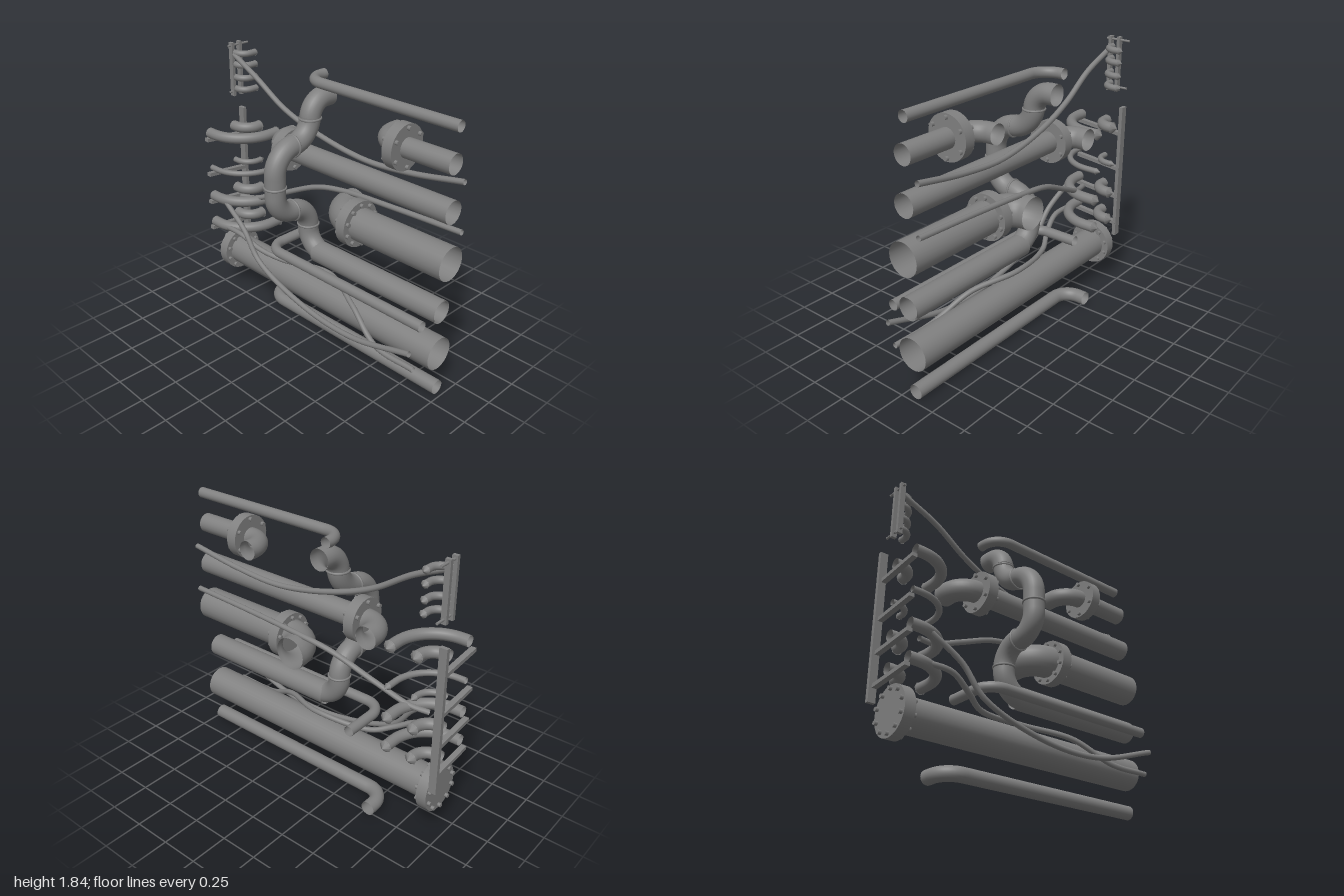
import * as THREE from 'three';

const mat = new THREE.MeshStandardMaterial({ color: 0x808080, side: THREE.DoubleSide });
const V = (p) => new THREE.Vector3(...p);

export function createModel() {
  const root = new THREE.Group();
  const add = (name, geo, pos = [0, 0, 0], parent = root) => {
    const m = new THREE.Mesh(geo, mat);
    m.name = name;
    m.position.set(...pos);
    parent.add(m);
    return m;
  };

  // Open pipe along a polyline whose corners become round elbows
  function pipe(name, pts, r, bend, segs = 90, sides = 24) {
    const P = pts.map(V), path = new THREE.CurvePath();
    let from = P[0];
    for (let i = 1; i < P.length - 1; i++) {
      const inDir = P[i].clone().sub(P[i - 1]), outDir = P[i + 1].clone().sub(P[i]);
      const b = Math.min(bend, inDir.length() * 0.49 + (i === 1 ? bend : 0), outDir.length() * 0.98);
      inDir.normalize(); outDir.normalize();
      const s = P[i].clone().addScaledVector(inDir, -b), e = P[i].clone().addScaledVector(outDir, b);
      path.add(new THREE.LineCurve3(from, s));
      path.add(new THREE.CubicBezierCurve3(s, s.clone().addScaledVector(inDir, b * 0.55),
        e.clone().addScaledVector(outDir, -b * 0.55), e));
      from = e;
    }
    path.add(new THREE.LineCurve3(from, P[P.length - 1]));
    return add(name, new THREE.TubeGeometry(path, segs, r, sides));
  }

  const cable = (name, pts, r = 0.018) =>
    add(name, new THREE.TubeGeometry(new THREE.CatmullRomCurve3(pts.map(V)), 64, r, 10));

  // Bolted flange facing along z
  function flange(x, y, z, r, bolts, thick = 0.07) {
    const g = new THREE.Group();
    g.name = 'flange';
    g.position.set(x, y, z);
    root.add(g);
    add('flangeDisc', new THREE.CylinderGeometry(r, r, thick, 40).rotateX(Math.PI / 2), [0, 0, 0], g);
    for (let i = 0; i < bolts; i++) {
      const a = ((i + 0.5) / bolts) * Math.PI * 2;
      add('bolt', new THREE.CylinderGeometry(0.014, 0.014, thick + 0.04, 8).rotateX(Math.PI / 2),
        [Math.cos(a) * r * 0.84, Math.sin(a) * r * 0.84, 0], g);
    }
  }

  // Long pipes turning into the wall: [x, y, radius, front z, elbow z, bend]
  const wall = 0.27;
  [
    [0.11, 1.755, 0.034, 0.97, -0.20, 0.13],
    [0.09, 1.545, 0.062, 0.97, 0.42, 0.14],
    [0.09, 1.26, 0.072, 0.98, -0.49, 0.13],
    [0.08, 0.945, 0.107, 1.0, 0.09, 0.16],
    [-0.08, 0.572, 0.034, 0.95, -0.38, 0.12],
    [0.09, 0.052, 0.047, 0.97, -0.54, 0.12],
  ].forEach(([x, y, r, z0, z1, b]) => pipe('wallPipe', [[x, y, z0], [x, y, z1], [wall, y, z1]], r, b));

  flange(0.09, 1.545, 0.6, 0.14, 6);
  flange(0.09, 1.26, -0.33, 0.14, 6);
  flange(0.08, 0.945, 0.275, 0.152, 10);

  // Main pipe with a closed flange at the back
  pipe('mainPipe', [[0.08, 0.31, 0.97], [0.08, 0.31, -0.9]], 0.107, 0.1, 1, 32);
  flange(0.08, 0.31, -0.9, 0.155, 10);

  // Riser that swings sideways and back before entering the wall
  const rz = -0.145;
  pipe('riserPipe', [[0.07, 0.615, 0.97], [0.07, 0.615, rz], [0.07, 0.935, rz], [-0.215, 0.935, rz],
    [-0.215, 1.365, rz], [0.09, 1.39, rz], [0.09, 1.635, rz], [0.26, 1.635, rz]], 0.068, 0.15, 170);
  pipe('riserFirstLength', [[0.07, 0.615, 0.97], [0.07, 0.615, -0.05]], 0.075, 0.1, 1);
  const collar = (x, y, z, axis) => {
    const g = new THREE.TorusGeometry(0.068, 0.008, 8, 28);
    if (axis === 'y') g.rotateX(Math.PI / 2);
    if (axis === 'x') g.rotateY(Math.PI / 2);
    add('pipeCollar', g, [x, y, z]);
  };
  collar(0.07, 0.79, rz, 'y');
  collar(-0.07, 0.935, rz, 'x');
  collar(-0.215, 1.14, rz, 'y');
  collar(-0.06, 1.375, rz, 'x');
  collar(0.09, 1.52, rz, 'y');

  // Rear rack: a post, its sloping cross bars and pairs of curved pipe stubs
  add('rackPost', new THREE.BoxGeometry(0.026, 0.97, 0.05), [0.225, 0.87, -0.975]);
  [1.25, 0.99, 0.775, 0.57].forEach((y, i) => {
    add('rackBar', new THREE.BoxGeometry(0.35, 0.025, 0.035), [0.06, y - 0.07, -0.965]).rotation.z = -0.1;
    const r = i === 1 ? 0.02 : 0.036;
    [[-0.09, -0.64, 0.26], [0.12, -0.82, 0.1]].forEach(([x, z, b]) => {
      pipe('rackPipe', [[x, y, -0.95], [x, y, z], [0.25, y, z]], r, b, 32, 14);
      add('rackPipeTip', new THREE.ConeGeometry(r * 1.15, 0.035, 8).rotateZ(-Math.PI / 2), [0.263, y, z]);
    });
  });

  // Small upper bracket with four stubs
  [0.125, 0.19].forEach((x) =>
    add('bracketPost', new THREE.BoxGeometry(0.022, 0.37, 0.035), [x, 1.655, -0.94]));
  [1.82, 1.5].forEach((y) =>
    add('bracketRod', new THREE.CylinderGeometry(0.008, 0.008, 0.17, 8).rotateZ(Math.PI / 2), [0.18, y, -0.94]));
  [1.77, 1.69, 1.6, 1.52].forEach((y) => {
    pipe('bracketPipe', [[0.14, y, -0.94], [0.14, y, -0.845], [0.25, y, -0.845]], 0.022, 0.07, 20, 12);
    add('bracketPipeTip', new THREE.ConeGeometry(0.025, 0.025, 8).rotateZ(-Math.PI / 2), [0.262, y, -0.845]);
  });

  // Loose cables
  cable('upperCable', [[0.19, 1.41, 0.97], [0.18, 1.35, 0.6], [0.17, 1.33, 0.25], [0.15, 1.4, -0.15],
    [0.13, 1.5, -0.43], [0.12, 1.65, -0.68], [0.13, 1.76, -0.92]]);
  cable('middleCable', [[0.19, 1.1, 0.98], [0.19, 1.08, 0.5], [0.19, 1.05, 0.05], [0.17, 1.01, -0.17],
    [0.12, 0.89, -0.45], [0.07, 0.79, -0.68], [0.04, 0.775, -0.8]]);
  cable('outerCable', [[-0.16, 0.41, 0.93], [-0.14, 0.28, 0.45], [-0.13, 0.3, 0], [-0.12, 0.45, -0.44],
    [-0.11, 0.63, -0.6], [-0.09, 0.77, -0.82]]);
  cable('lowerCable', [[-0.11, 0.27, 0.93], [-0.1, 0.28, 0.62], [-0.02, 0.41, 0.35], [0.1, 0.46, 0.03],
    [0.02, 0.44, -0.36], [-0.05, 0.49, -0.5], [-0.09, 0.565, -0.65], [-0.09, 0.57, -0.85]]);

  return root;
}
